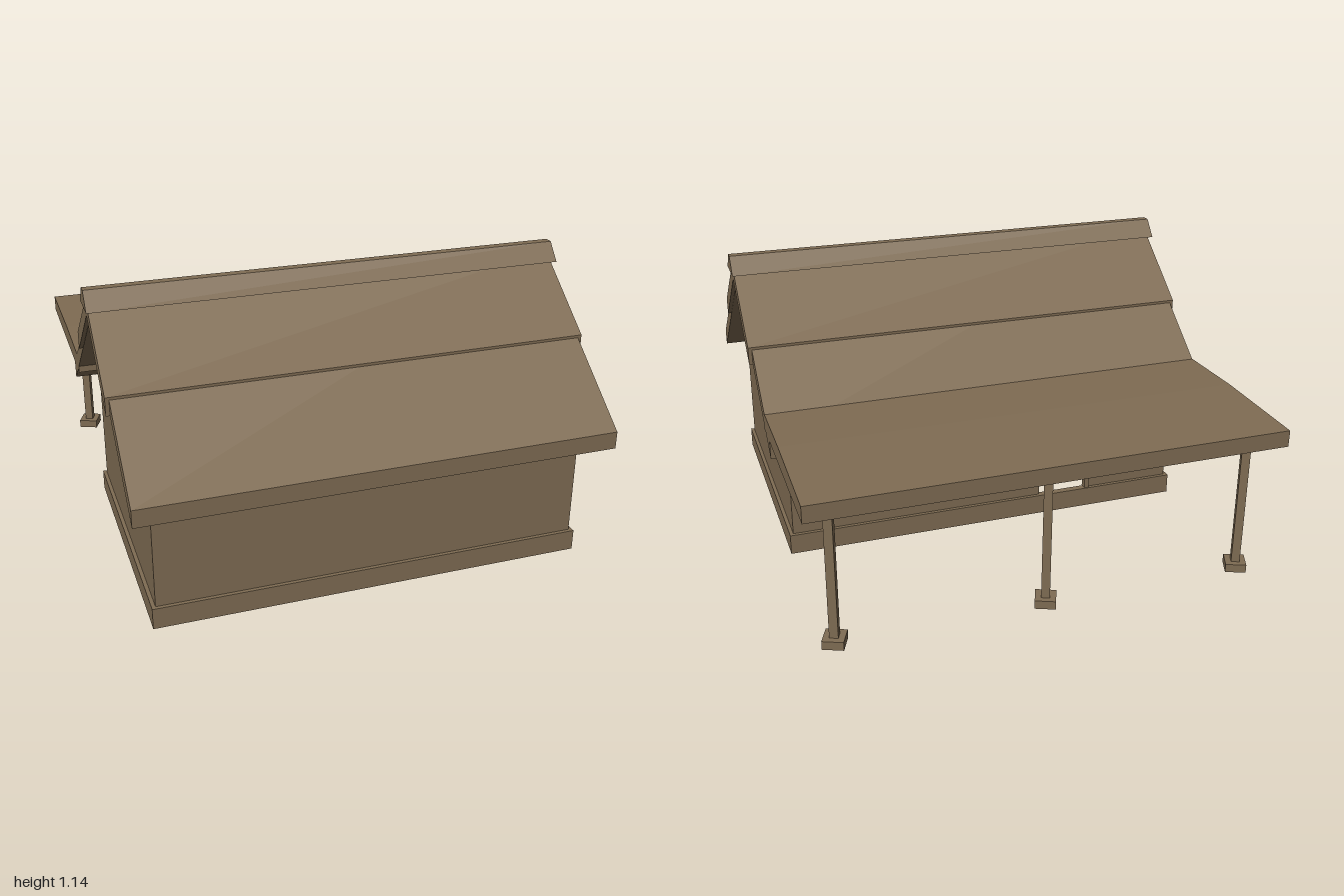
import * as THREE from 'three';

const wood = new THREE.MeshStandardMaterial({ color: 0x7f6c53 });
wood.name = 'weathered wood';

const RIDGE_Z = 0.335;

export function createModel() {
  const model = new THREE.Group();
  model.name = 'cabin';

  const add = (name, geometry, parent = model) => {
    const mesh = new THREE.Mesh(geometry, wood);
    mesh.name = name;
    parent.add(mesh);
    return mesh;
  };

  // Box given by its limits on each axis
  const box = (name, [x0, x1], [y0, y1], [z0, z1], parent) => {
    const g = new THREE.BoxGeometry(x1 - x0, y1 - y0, z1 - z0);
    g.translate((x0 + x1) / 2, (y0 + y1) / 2, (z0 + z1) / 2);
    return add(name, g, parent);
  };

  // Side profile of [z, y] points extruded from x0 to x1
  const profile = (name, points, x0, x1) => {
    const shape = new THREE.Shape(points.map(([z, y]) => new THREE.Vector2(z, y)));
    const g = new THREE.ExtrudeGeometry(shape, { depth: x1 - x0, bevelEnabled: false });
    g.rotateY(-Math.PI / 2);
    g.translate(x1, 0, 0);
    return add(name, g);
  };

  const rectPath = (Type, x0, x1, y0, y1) => new Type([
    new THREE.Vector2(x0, y0), new THREE.Vector2(x1, y0),
    new THREE.Vector2(x1, y1), new THREE.Vector2(x0, y1),
  ]);

  // Gable walls and plain front wall
  const gable = [[-0.2, 0], [0.87, 0], [0.87, 0.605], [RIDGE_Z, 1.03], [-0.2, 0.605]];
  profile('rightGableWall', gable, -0.85, -0.835);
  profile('leftGableWall', gable, 0.835, 0.85);
  box('frontWall', [-0.835, 0.835], [0, 0.605], [0.855, 0.87]);

  // Back wall with door and window openings
  const back = rectPath(THREE.Shape, -0.835, 0.835, 0, 0.605);
  back.holes.push(rectPath(THREE.Path, -0.46, -0.24, 0.085, 0.52));
  back.holes.push(rectPath(THREE.Path, 0.29, 0.43, 0.375, 0.495));
  const backGeometry = new THREE.ExtrudeGeometry(back, { depth: 0.015, bevelEnabled: false });
  add('backWall', backGeometry.translate(0, 0, -0.2));

  // Plinth ring, open underneath
  const plinth = new THREE.Group();
  plinth.name = 'plinth';
  model.add(plinth);
  for (const [z0, z1] of [[0.865, 0.885], [-0.215, -0.195]]) {
    box('plinthBoard', [-0.865, 0.865], [0, 0.085], [z0, z1], plinth);
  }
  for (const s of [-1, 1]) {
    const xs = s > 0 ? [0.845, 0.865] : [-0.865, -0.845];
    box('plinthSideBoard', xs, [0, 0.085], [-0.195, 0.865], plinth);
  }

  // Window frame and bars
  const windowFrame = new THREE.Group();
  windowFrame.name = 'window';
  model.add(windowFrame);
  const frame = rectPath(THREE.Shape, 0.25, 0.47, 0.34, 0.53);
  frame.holes.push(rectPath(THREE.Path, 0.29, 0.43, 0.375, 0.495));
  const frameGeometry = new THREE.ExtrudeGeometry(frame, { depth: 0.012, bevelEnabled: false });
  add('windowFrame', frameGeometry.translate(0, 0, -0.212), windowFrame);
  box('windowBar', [0.352, 0.368], [0.375, 0.495], [-0.205, -0.19], windowFrame);
  box('windowCrossbar', [0.29, 0.43], [0.43, 0.44], [-0.203, -0.192], windowFrame);

  // Door jamb
  box('doorJamb', [-0.475, -0.455], [0.085, 0.53], [-0.21, -0.18]);

  // Two overlapping roof layers, mirrored about the ridge
  const lower = [[1, 0.505], [1, 0.575], [RIDGE_Z, 1.09], [RIDGE_Z, 1.03]];
  const upper = [[0.665, 0.773], [0.665, 0.845], [RIDGE_Z, 1.1], [RIDGE_Z, 1.035], [0.585, 0.835]];
  const mirror = (points) => points.map(([z, y]) => [2 * RIDGE_Z - z, y]);
  profile('frontLowerRoof', lower, -0.935, 0.935);
  profile('frontUpperRoof', upper, -0.95, 0.95);
  profile('backLowerRoof', mirror(lower), -0.935, 0.935);
  profile('backUpperRoof', mirror(upper), -0.95, 0.95);
  profile('ridgeCap', [[0.258, 1.07], [0.412, 1.07], [0.353, 1.14], [0.317, 1.14]], -0.96, 0.96);

  // Porch roof
  profile('porchRoof', [[-0.2, 0.58], [-1, 0.58], [-1, 0.647], [-0.55, 0.658], [-0.235, 0.652], [-0.2, 0.64]],
    -0.935, 0.935);

  // Porch posts, slightly turned
  for (const x of [-0.825, 0, 0.825]) {
    const post = new THREE.Group();
    post.name = 'porchPost';
    post.position.set(x, 0, -0.885);
    post.rotation.y = -0.4;
    model.add(post);
    box('postFoot', [-0.041, 0.041], [0, 0.035], [-0.041, 0.041], post);
    box('postShaft', [-0.017, 0.017], [0.035, 0.58], [-0.017, 0.017], post);
    box('postCap', [-0.02, 0.02], [0.535, 0.575], [-0.02, 0.02], post);
  }

  return model;
}
